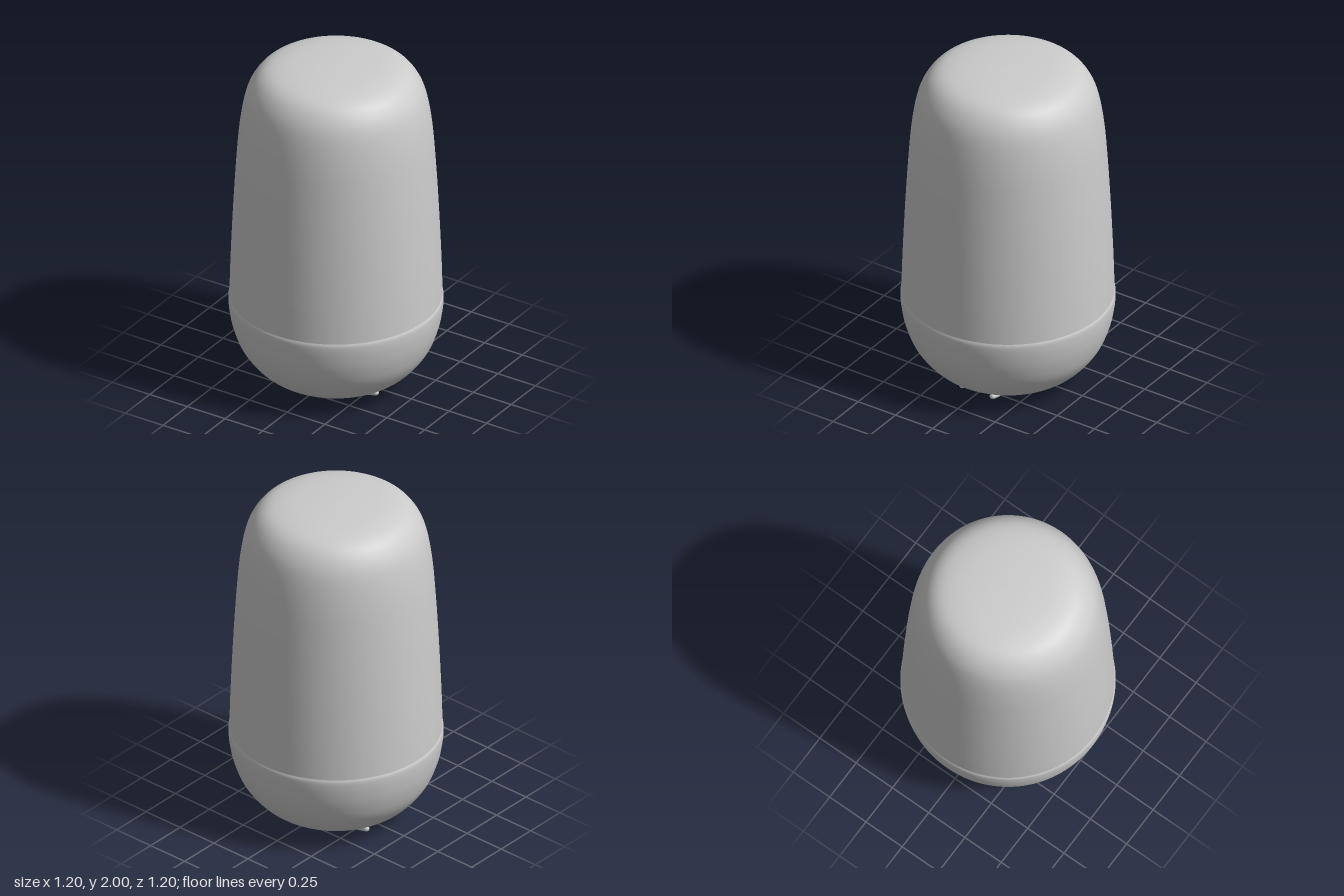
import * as THREE from 'three';

const material = new THREE.MeshStandardMaterial({ color: 0xcccccc, side: THREE.DoubleSide });

// Smoothly revolved shell from a few (radius, height) points
function revolve(name, points, steps) {
  const curve = new THREE.SplineCurve(points.map(([r, y]) => new THREE.Vector2(r, y)));
  const profile = curve.getPoints(steps);
  profile.forEach(p => { p.x = Math.max(p.x, 0); });
  const mesh = new THREE.Mesh(new THREE.LatheGeometry(profile, 96), material);
  mesh.name = name;
  return mesh;
}

export function createModel() {
  const model = new THREE.Group();
  model.name = 'roundedCanister';

  // Rounded lower bowl, ending in a slight rim
  model.add(revolve('lowerBowl', [
    [0, 0.012], [0.15, 0.014], [0.26, 0.024], [0.36, 0.056], [0.45, 0.12],
    [0.53, 0.225], [0.575, 0.34], [0.595, 0.44], [0.6, 0.51], [0.594, 0.535],
  ], 48));

  // Tapered upper shell with a soft shoulder and nearly flat top
  model.add(revolve('upperShell', [
    [0.594, 0.535], [0.588, 0.75], [0.575, 1.05], [0.558, 1.35], [0.538, 1.6],
    [0.508, 1.78], [0.466, 1.882], [0.4, 1.95], [0.3, 1.982], [0.15, 1.996], [0, 2],
  ], 60));

  // Four small pads under the base
  const feet = new THREE.Group();
  feet.name = 'feet';
  const padGeometry = new THREE.CapsuleGeometry(0.018, 0.055, 6, 16).rotateZ(Math.PI / 2);
  for (const side of [-1, 1]) {
    for (const z of [0.09, -0.115]) {
      const pad = new THREE.Mesh(padGeometry, material);
      pad.name = 'foot';
      pad.position.set(side * 0.295, 0.026, z);
      pad.rotation.z = side * 0.22;
      feet.add(pad);
    }
  }
  model.add(feet);
  return model;
}
